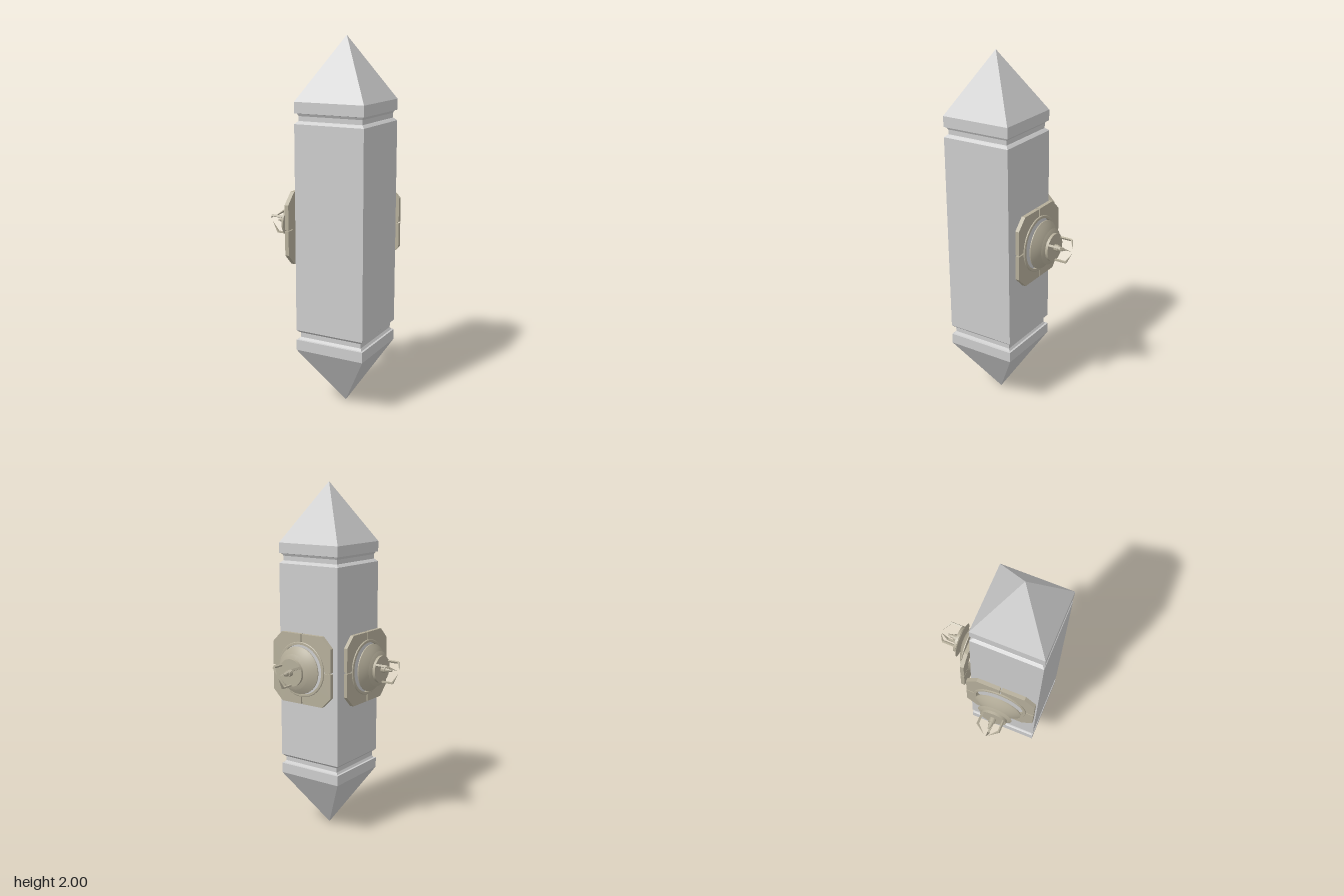
import * as THREE from 'three';
import { toCreasedNormals } from 'three/addons/utils/BufferGeometryUtils.js';

const stone = new THREE.MeshStandardMaterial({ color: 0xcccccc, flatShading: true });
const metal = new THREE.MeshStandardMaterial({ color: 0xb5ae9a, side: THREE.DoubleSide });

const CENTRE = 0.132; // column axis in x and z
const HALF = 0.198; // half width of the column

function part(name, geometry, material, parent) {
  const mesh = new THREE.Mesh(geometry, material);
  mesh.name = name;
  parent.add(mesh);
  return mesh;
}

// Revolved part: points are [radius, distance outwards], turned to face +z
function turned(points, segments = 40) {
  const g = new THREE.LatheGeometry(points.map(([r, d]) => new THREE.Vector2(r, d)), segments);
  return toCreasedNormals(g.rotateX(Math.PI / 2), 0.4);
}

// Square column: four-sided lathe of half-width / height pairs
function columnGeometry() {
  const half = [[HALF, 1.0], [HALF, 1.557], [0.186, 1.568], [0.181, 1.572], [0.181, 1.597],
    [0.188, 1.61], [HALF, 1.612], [HALF, 1.67], [0, 2]];
  const lower = half.slice(1).map(([w, y]) => [w, 2 - y]).reverse();
  const profile = [...lower, ...half].map(([w, y]) => new THREE.Vector2(w * Math.SQRT2, y));
  return new THREE.LatheGeometry(profile, 4, Math.PI / 4).toNonIndexed();
}

// One quarter of the chamfered mounting plate with its round opening
function plateQuarter() {
  const gap = 0.004, flat = 0.137, hole = 0.146;
  const a = Math.asin(gap / hole);
  const s = new THREE.Shape();
  s.moveTo(hole * Math.cos(a), gap);
  s.lineTo(HALF, gap);
  s.lineTo(HALF, flat);
  s.lineTo(flat, HALF);
  s.lineTo(gap, HALF);
  s.lineTo(gap, hole * Math.cos(a));
  s.absarc(0, 0, hole, Math.PI / 2 - a, a, true);
  return new THREE.ExtrudeGeometry(s, { depth: 0.022, bevelEnabled: false, curveSegments: 12 })
    .translate(0, 0, 0.108);
}

// Bent claw: drawn as radius / distance, narrowing sideways to a point
function prongGeometry() {
  const s = new THREE.Shape([[0.075, 0.226], [0.075, 0.297], [0.013, 0.331], [0.066, 0.292], [0.066, 0.226]]
    .map(([r, d]) => new THREE.Vector2(r, d)));
  const g = new THREE.ExtrudeGeometry(s, { depth: 0.012, bevelEnabled: false }).translate(0, 0, -0.006);
  const p = g.attributes.position;
  for (let i = 0; i < p.count; i++) {
    if (p.getY(i) > 0.32) p.setZ(i, p.getZ(i) * 0.08);
  }
  g.rotateX(Math.PI / 2); // distance becomes +z
  g.computeVertexNormals();
  return g;
}

function createEmitter(name) {
  const e = new THREE.Group();
  e.name = name;

  const quarter = plateQuarter();
  for (let i = 0; i < 4; i++) {
    part('plateQuarter', quarter, metal, e).rotation.z = i * Math.PI / 2;
    // small key joining neighbouring plate quarters
    const key = part('plateKey', new THREE.BoxGeometry(0.03, 0.01, 0.008), metal, e);
    const a = i * Math.PI / 2;
    key.position.set(0.172 * Math.cos(a), 0.172 * Math.sin(a), 0.12);
    key.rotation.z = a;
  }

  part('plateRing', turned([[0.14, 0.126], [0.155, 0.13], [0.155, 0.135], [0.152, 0.137],
    [0.14, 0.137], [0.14, 0.126]]), metal, e);

  // shallow dome with a thin rim
  const dome = [[0, 0.153], [0.133, 0.153], [0.133, 0.158]];
  for (let i = 1; i <= 8; i++) {
    const t = i / 8;
    dome.push([0.133 * (1 - t), 0.158 + 0.038 * (1 - (1 - t) ** 2)]);
  }
  part('dome', turned(dome), metal, e);

  part('collar', turned([[0, 0.203], [0.099, 0.203], [0.076, 0.212], [0.071, 0.213], [0.071, 0.213],
    [0.076, 0.213], [0.076, 0.228], [0, 0.228]]), metal, e);

  // central nozzle, stepped and tapering
  part('nozzle', turned([[0.018, 0.226], [0.018, 0.253], [0.013, 0.254], [0.01, 0.276], [0.007, 0.279],
    [0.006, 0.29], [0, 0.291]], 20), metal, e);

  // three claws, one pointing down
  const prong = prongGeometry();
  for (let i = 0; i < 3; i++) {
    part('prong', prong, metal, e).rotation.z = -Math.PI / 2 + i * Math.PI * 2 / 3;
  }
  return e;
}

export function createModel() {
  const model = new THREE.Group();
  model.name = 'columnWithEmitters';

  const column = part('column', columnGeometry(), stone, model);
  column.position.set(CENTRE, 0, CENTRE);
  column.geometry.computeVertexNormals();

  const back = createEmitter('backEmitter');
  back.position.set(CENTRE, 0.99, 0);
  back.rotation.y = Math.PI;

  const right = createEmitter('rightEmitter');
  right.position.set(0, 0.99, CENTRE);
  right.rotation.y = -Math.PI / 2;

  model.add(back, right);
  return model;
}
